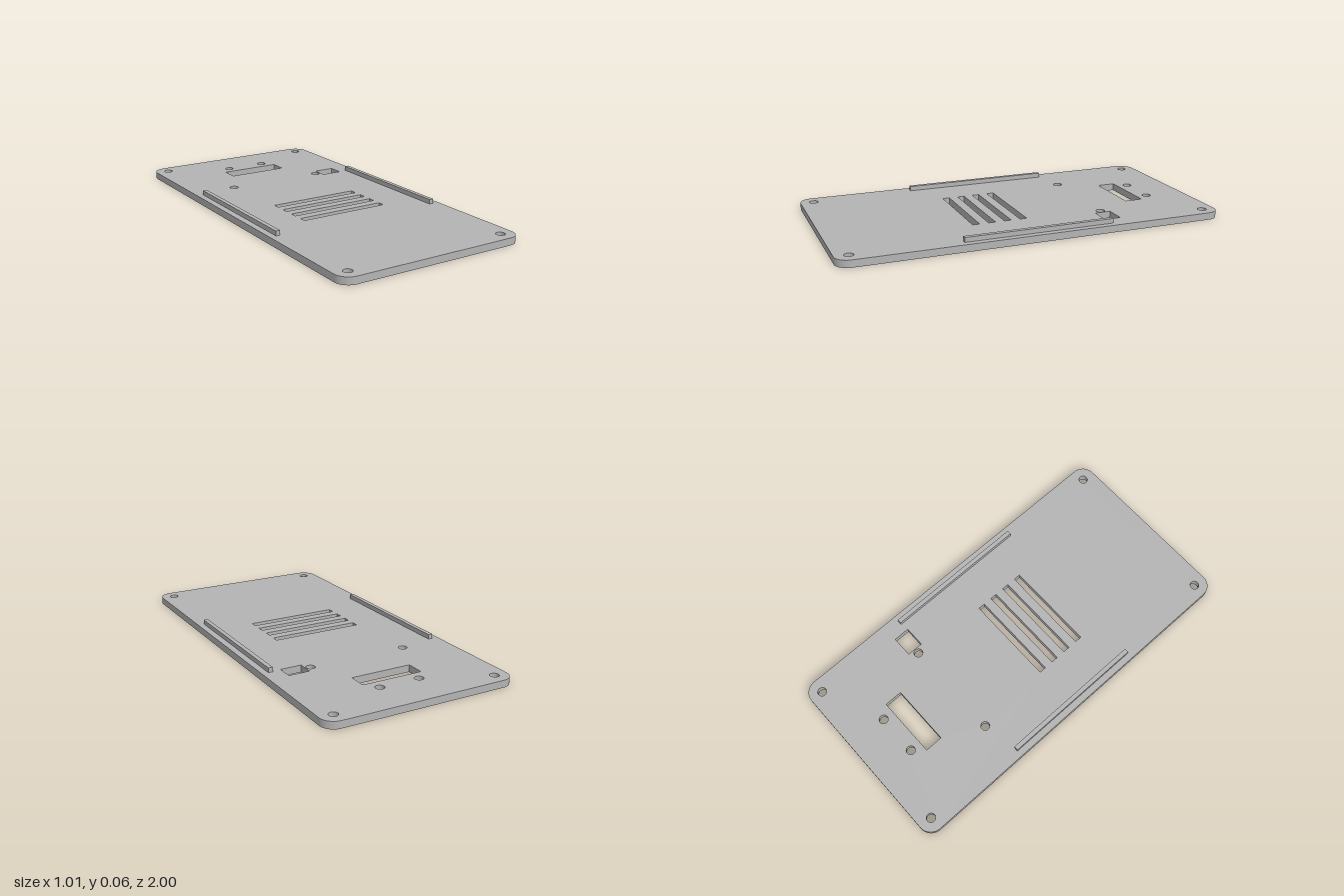
import * as THREE from 'three';
import { toCreasedNormals } from 'three/addons/utils/BufferGeometryUtils.js';

const W = 0.505, L = 1, T = 0.037, R = 0.07;

// Plan outlines are drawn with shape x = x and shape y = z
function roundedPlan() {
  const s = new THREE.Shape();
  s.absarc(W - R, L - R, R, 0, Math.PI / 2);
  s.absarc(-W + R, L - R, R, Math.PI / 2, Math.PI);
  s.absarc(-W + R, -L + R, R, Math.PI, Math.PI * 1.5);
  s.absarc(W - R, -L + R, R, Math.PI * 1.5, Math.PI * 2);
  s.closePath();
  return s;
}

function roundHole(x, z, r = 0.023) {
  const p = new THREE.Path();
  p.absarc(x, z, r, 0, Math.PI * 2, true);
  return p;
}

function rectHole(x0, x1, z0, z1) {
  return new THREE.Path([[x0, z0], [x0, z1], [x1, z1], [x1, z0]]
    .map(([x, z]) => new THREE.Vector2(x, z)));
}

export function createModel() {
  const group = new THREE.Group();
  group.name = 'enclosurePanel';
  const grey = new THREE.MeshStandardMaterial({ color: 0xb4b4b4 });
  grey.name = 'grey plastic';

  // Base plate with its screw holes and cutouts
  const plan = roundedPlan();
  for (const s of [-1, 1]) {
    plan.holes.push(
      roundHole(s * 0.435, -0.93), roundHole(s * 0.435, 0.93), // corner screws
      roundHole(s * 0.108, -0.787), // screws behind the window
      roundHole(s * 0.265, -0.424), // middle screws
    );
  }
  plan.holes.push(rectHole(-0.161, 0.161, -0.727, -0.632)); // wide window
  plan.holes.push(rectHole(0.293, 0.404, -0.466, -0.381)); // small socket opening
  for (let i = 0; i < 4; i++) { // vent slots
    const z = -0.003 + i * 0.0845;
    plan.holes.push(rectHole(-0.241, 0.241, z - 0.0185, z + 0.0185));
  }
  const geo = new THREE.ExtrudeGeometry(plan, { depth: T, bevelEnabled: false, curveSegments: 16 });
  geo.rotateX(Math.PI / 2).translate(0, T, 0);
  const plate = new THREE.Mesh(toCreasedNormals(geo, 0.6), grey);
  plate.name = 'basePlate';
  group.add(plate);

  // Raised rails along both long edges
  for (const s of [-1, 1]) {
    const rail = new THREE.Mesh(new THREE.BoxGeometry(0.023, 0.024, 0.78), grey);
    rail.position.set(s * 0.46, T + 0.012, 0);
    rail.name = s > 0 ? 'leftRail' : 'rightRail';
    group.add(rail);
  }
  return group;
}
